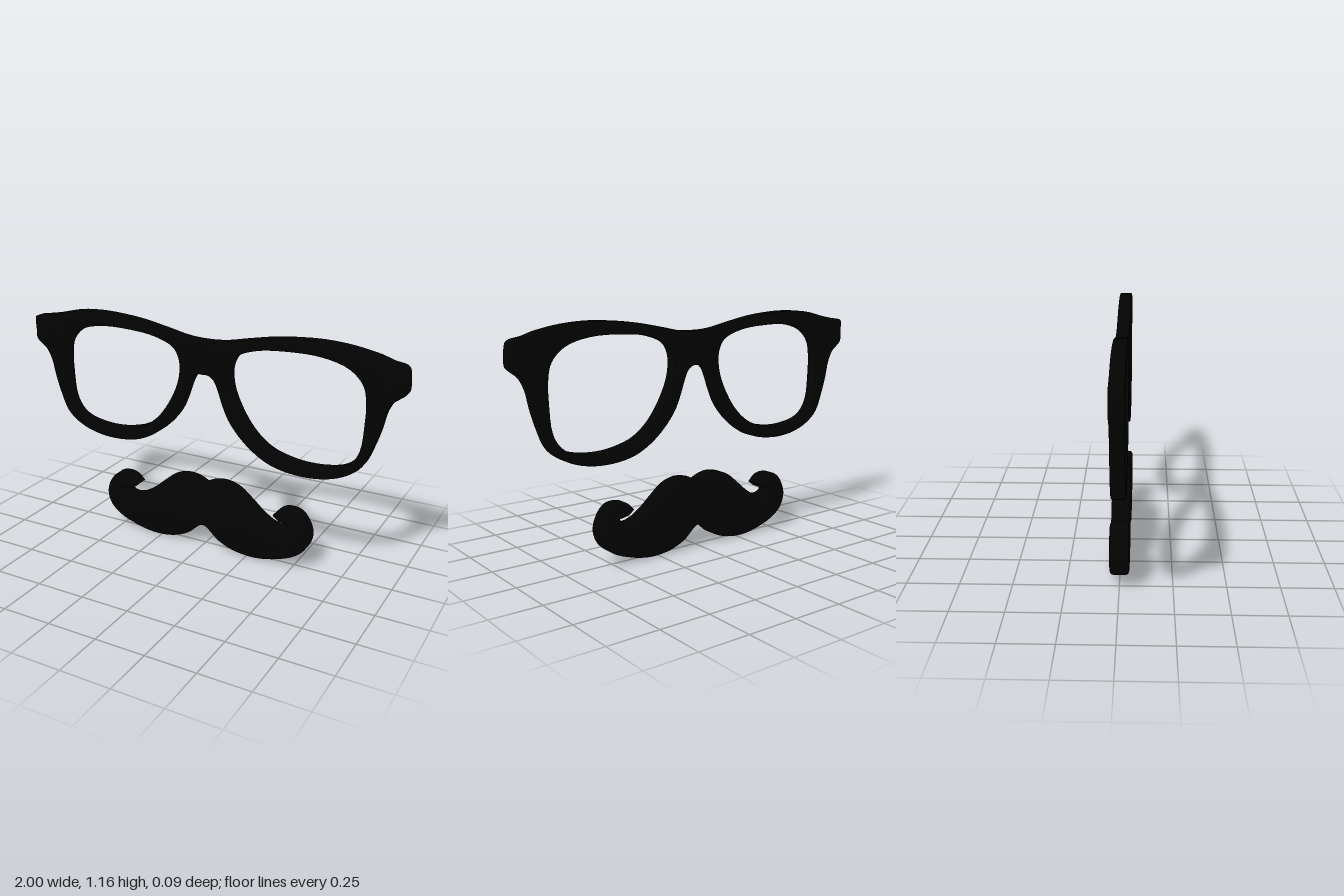
import * as THREE from 'three';
import { toCreasedNormals } from 'three/addons/utils/BufferGeometryUtils.js';

const vectors = (pts) => pts.map(([x, y]) => new THREE.Vector3(x, y, 0));

// Smooth run through the points; an open run leaves out its last point so runs can be joined
function smooth(pts, steps, closed = false) {
  const curve = new THREE.CatmullRomCurve3(vectors(pts), closed, 'centripetal');
  const count = steps * pts.length;
  return Array.from({ length: count }, (_, i) => {
    const p = curve.getPoint(i / count);
    return new THREE.Vector2(p.x, p.y);
  });
}

const mirror = (pts) => pts.map(([x, y]) => [-x, y]);

// Plate centred on z with rounded edges that stay inside the outline.
// Outlines run clockwise and holes counter-clockwise.
function plate(name, shape, depth, bevel, z, material) {
  const geometry = new THREE.ExtrudeGeometry(shape, {
    depth: depth - 2 * bevel, bevelThickness: bevel, bevelSize: bevel,
    bevelOffset: -bevel, bevelSegments: 4, curveSegments: 1,
  });
  geometry.translate(0, 0, z - depth / 2 + bevel);
  const mesh = new THREE.Mesh(toCreasedNormals(geometry, 0.6), material);
  mesh.name = name;
  return mesh;
}

export function createModel() {
  const group = new THREE.Group();
  group.name = 'glassesAndMoustache';
  const black = new THREE.MeshStandardMaterial({ color: 0x030303 });

  // Glasses frame: brow, hinge corner and rim, from top centre to bridge
  const brow = [[0.1, 1.095], [0.22, 1.119], [0.36, 1.145], [0.49, 1.158], [0.6, 1.162], [0.73, 1.153]];
  const leftCorner = [[0.86, 1.129], [0.92, 1.11], [0.975, 1.099], [0.992, 1.085], [1, 1.03], [0.998, 0.98]];
  const rightCorner = [[-0.86, 1.123], [-0.93, 1.11], [-0.994, 1.099], [-1, 1.091], [-1, 1.03], [-0.998, 0.98]];
  const rim = [
    [0.975, 0.958], [0.94, 0.93], [0.91, 0.874], [0.89, 0.789], [0.86, 0.694], [0.82, 0.604],
    [0.755, 0.549], [0.66, 0.511], [0.53, 0.496], [0.39, 0.514], [0.3, 0.554], [0.21, 0.624],
    [0.14, 0.709], [0.105, 0.784], [0.08, 0.854], [0.058, 0.899], [0.03, 0.92],
  ];
  const leftHalf = [...brow, ...leftCorner, ...rim];
  const rightHalf = [...mirror(brow), ...rightCorner, ...mirror(rim)].reverse();
  const frame = new THREE.Shape(smooth([[0, 1.089], ...leftHalf, [0, 0.921], ...rightHalf], 4, true));

  // Lens openings, both set a little to the left
  const lens = [
    [0.137, 0.924], [0.141, 0.982], [0.172, 1.036], [0.27, 1.076], [0.42, 1.094], [0.6, 1.091],
    [0.73, 1.054], [0.796, 0.99], [0.814, 0.914], [0.814, 0.814], [0.8, 0.68], [0.766, 0.617],
    [0.72, 0.583], [0.64, 0.562], [0.53, 0.556], [0.43, 0.571], [0.35, 0.598], [0.278, 0.65],
    [0.221, 0.717], [0.17, 0.806], [0.147, 0.866],
  ];
  for (const pts of [[...lens].reverse(), mirror(lens)]) {
    const shifted = pts.map(([x, y]) => [x + 0.006, y]);
    frame.holes.push(new THREE.Path(smooth(shifted, 4, true)));
  }
  group.add(plate('glassesFrame', frame, 0.064, 0.006, 0.003, black));

  // Moustache half: upper lobe, inside of the curl, then round the curl and along the bottom
  const upper = [
    [0, 0.342], [0.045, 0.361], [0.105, 0.369], [0.18, 0.35], [0.25, 0.297], [0.32, 0.238],
    [0.38, 0.203], [0.425, 0.194], [0.46, 0.206], [0.469, 0.225],
  ];
  const inner = [[0.469, 0.225], [0.445, 0.229], [0.42, 0.235], [0.388, 0.26]];
  const outer = [
    [0.388, 0.26], [0.425, 0.295], [0.468, 0.306], [0.52, 0.296], [0.563, 0.248], [0.583, 0.18],
    [0.561, 0.11], [0.505, 0.06], [0.41, 0.022], [0.33, 0.004], [0.26, 0], [0.17, 0.013],
    [0.09, 0.047], [0.04, 0.09], [0.016, 0.108], [0, 0.112],
  ];
  const half = [...smooth(upper, 4), ...smooth(inner, 2), ...smooth(outer, 4)];
  const otherHalf = half.slice(1).reverse().map((p) => new THREE.Vector2(-p.x, p.y));
  const moustache = new THREE.Shape([...half, new THREE.Vector2(0, 0.112), ...otherHalf]);
  group.add(plate('moustache', moustache, 0.09, 0.018, 0, black));

  return group;
}
